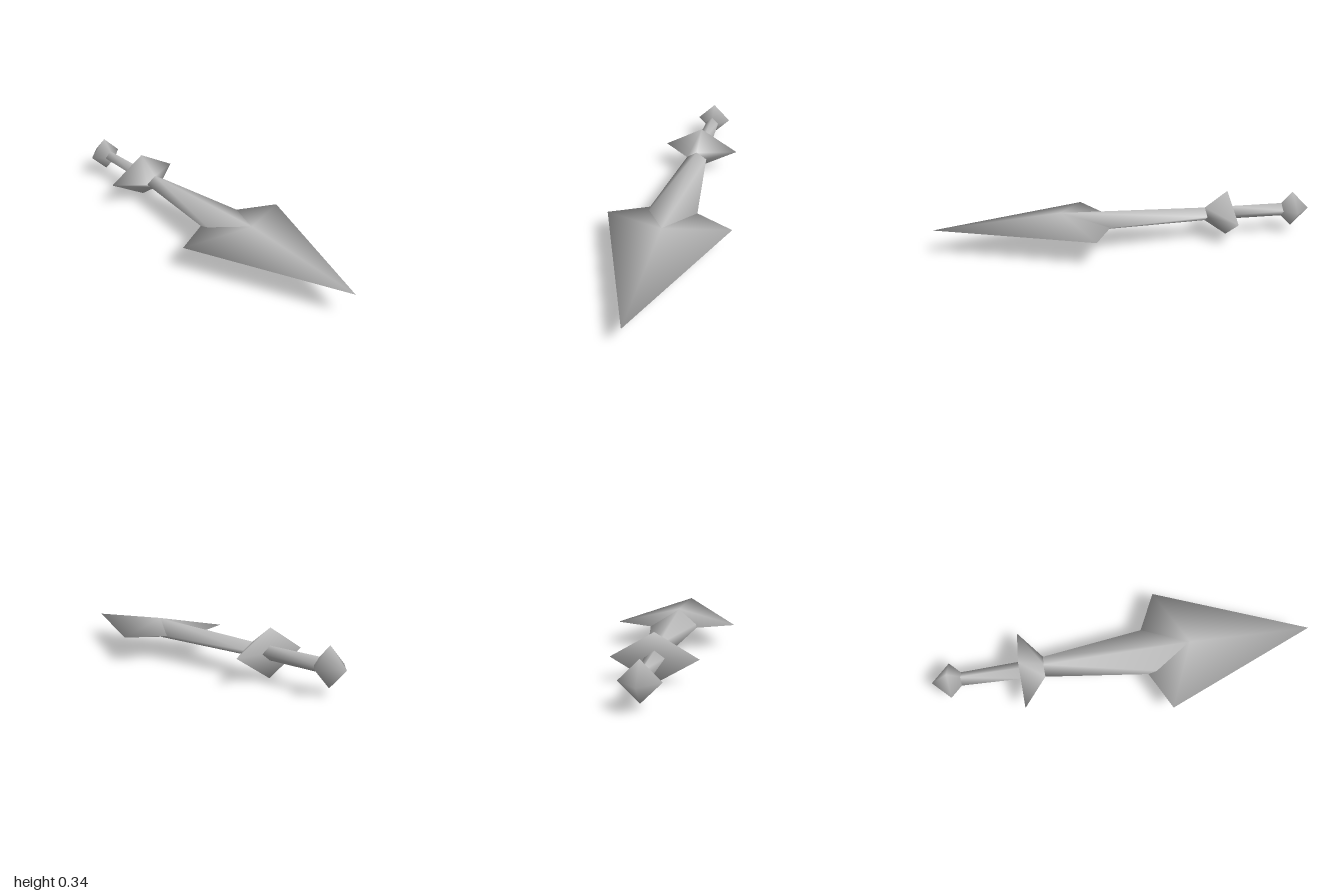
import * as THREE from 'three';
import { mergeVertices } from 'three/addons/utils/BufferGeometryUtils.js';

// Smooth loft of diamond sections along z.
// Each section: [z, half width, half height, z of the side corners (optional)]
function diamondLoft(sections) {
  const points = [];
  const index = [];
  for (const [z, w, h, sideZ = z] of sections) {
    points.push(w, 0, sideZ, 0, h, z, -w, 0, sideZ, 0, -h, z);
  }
  const last = sections.length - 1;
  for (let i = 0; i < last; i++) {
    for (let k = 0; k < 4; k++) {
      const a = i * 4 + k;
      const b = i * 4 + ((k + 1) % 4);
      if (sections[i][1] > 0) index.push(a, b, b + 4);
      if (sections[i + 1][1] > 0) index.push(a, b + 4, a + 4);
    }
  }
  // End caps, where the loft does not close to a point
  if (sections[0][1] > 0) index.push(0, 2, 1, 0, 3, 2);
  const e = last * 4;
  if (sections[last][1] > 0) index.push(e, e + 1, e + 2, e, e + 2, e + 3);

  let geometry = new THREE.BufferGeometry();
  geometry.setAttribute('position', new THREE.Float32BufferAttribute(points, 3));
  geometry.setIndex(index);
  geometry = mergeVertices(geometry);
  geometry.computeVertexNormals();
  return geometry;
}

export function createModel() {
  const steel = new THREE.MeshStandardMaterial({ color: 0xc0c0c0 });
  steel.name = 'steel';

  const parts = {
    // Eight-sided knob at the end of the grip
    pommel: [[-1.414, 0, 0], [-1.28, 0.134, 0.134], [-1.146, 0, 0]],
    handle: [[-1.25, 0.05, 0.05], [-0.74, 0.068, 0.05]],
    // Wide flat-backed diamond narrowing towards the blade
    guard: [[-0.758, 0.293, 0.172], [-0.587, 0.078, 0.05]],
    // Flat blade that widens into the head
    blade: [[-0.6, 0.077, 0.05], [0.5, 0.22, 0.075]],
    // Arrow-shaped head with swept-back barbs
    bladeHead: [[0.076, 0, 0], [0.5, 0.456, 0.076, 0.3], [1.41, 0, 0]],
  };

  const dagger = new THREE.Group();
  dagger.name = 'dagger';
  for (const [name, sections] of Object.entries(parts)) {
    const mesh = new THREE.Mesh(diamondLoft(sections), steel);
    mesh.name = name;
    dagger.add(mesh);
  }

  // Lies flat along the diagonal, resting on the guard
  dagger.rotation.y = Math.PI / 4;
  dagger.position.y = 0.172;

  const model = new THREE.Group();
  model.add(dagger);
  return model;
}
